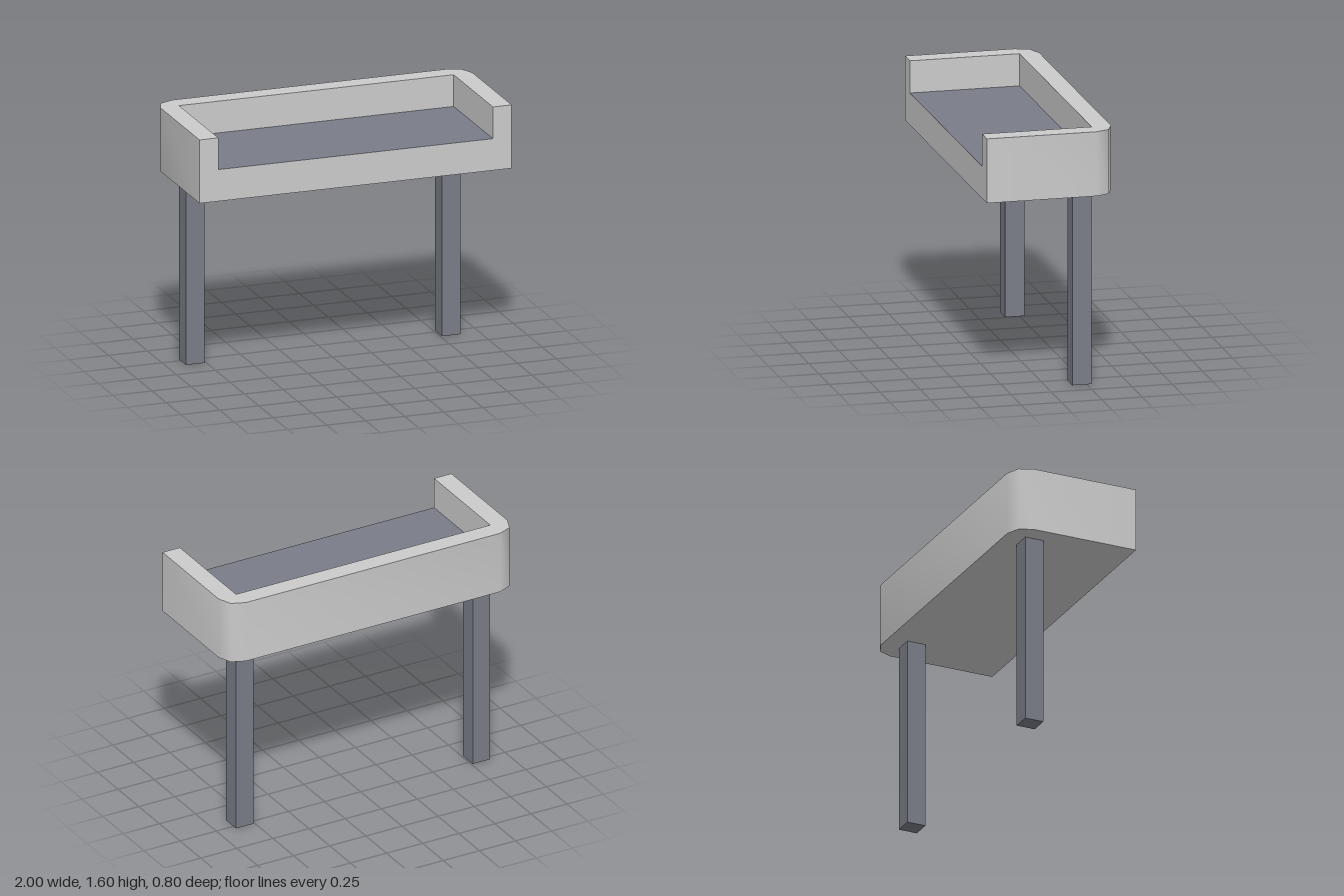
import * as THREE from 'three';
import { toCreasedNormals } from 'three/addons/utils/BufferGeometryUtils.js';

const W = 1, D = 0.4;          // half width and half depth
const T = 0.12;                // rim thickness, corner radius and leg width
const LEG = 1.2, SEAT = 1.4, TOP = 1.6;

const grey = new THREE.MeshStandardMaterial({ color: 0xcccccc });
const slate = new THREE.MeshStandardMaterial({ color: 0x7a7d88 });

// U-shaped wall, open at the front, with two-sided rounded back corners
function rimGeometry() {
  const s = new THREE.Shape();
  s.moveTo(W, D);
  s.lineTo(W - T, D);
  s.lineTo(W - T, -D + T);
  s.lineTo(-W + T, -D + T);
  s.lineTo(-W + T, D);
  s.lineTo(-W, D);
  for (const [side, order] of [[-1, [0, 1, 2]], [1, [2, 1, 0]]]) {
    for (const i of order) {
      const a = i * Math.PI / 4;
      s.lineTo(side * (W - T + T * Math.cos(a)), -D + T - T * Math.sin(a));
    }
  }
  const geo = new THREE.ExtrudeGeometry(s, { depth: TOP - LEG, bevelEnabled: false });
  geo.rotateX(Math.PI / 2).translate(0, TOP, 0);
  return toCreasedNormals(geo, 0.9);
}

export function createModel() {
  const group = new THREE.Group();
  const add = (name, geometry, material, x = 0, y = 0, z = 0) => {
    const mesh = new THREE.Mesh(geometry, material);
    mesh.name = name;
    mesh.position.set(x, y, z);
    group.add(mesh);
  };

  add('rim', rimGeometry(), grey);

  // Slab between the walls, with a dark top surface
  add('desktop', new THREE.BoxGeometry(2 * (W - T), SEAT - LEG, 2 * D - T),
    [grey, grey, slate, grey, grey, grey], 0, (LEG + SEAT) / 2, T / 2);

  // Two square legs below the back corners
  for (const [name, side] of [['leftLeg', 1], ['rightLeg', -1]]) {
    add(name, new THREE.BoxGeometry(T, LEG, T), slate,
      side * (W - 1.5 * T), LEG / 2, -D + 1.5 * T);
  }
  return group;
}
